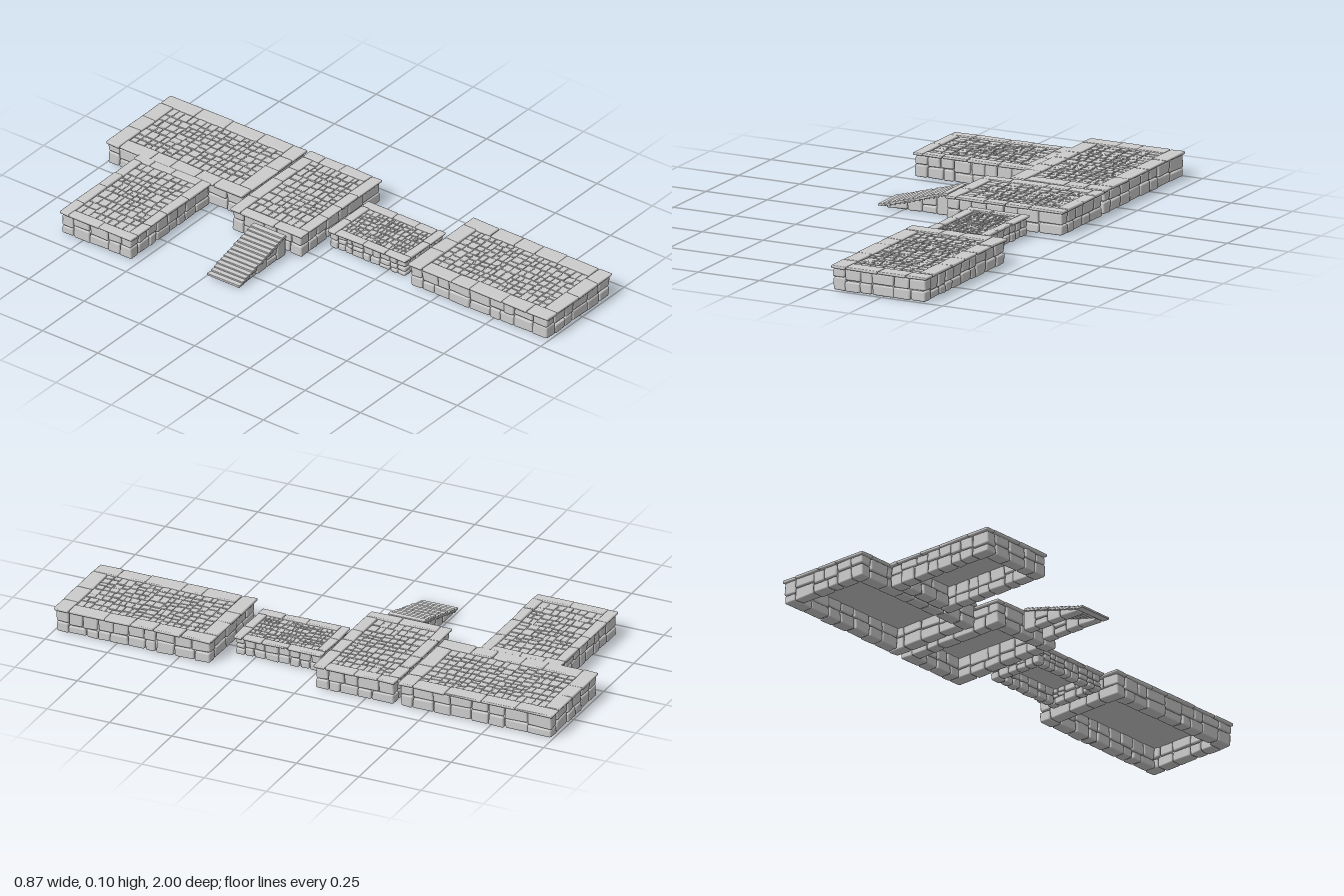
import * as THREE from 'three';
import { mergeGeometries } from 'three/addons/utils/BufferGeometryUtils.js';
import { RoundedBoxGeometry } from 'three/addons/geometries/RoundedBoxGeometry.js';

const material = new THREE.MeshStandardMaterial({ color: 0xcccccc, roughness: 0.9 });

let seed = 7;
function rand(a = 0, b = 1) {
  seed = (seed * 16807) % 2147483647;
  return a + (b - a) * (seed / 2147483647);
}

// Worn block filling the given bounds; corners are nudged, slope lifts the top towards +x
function stone([x0, x1], [y0, y1], [z0, z1], { gap = 0.002, radius = 0.006, wear = 0.003, slope = 0 } = {}) {
  const w = x1 - x0 - gap, h = y1 - y0 - gap, d = z1 - z0 - gap;
  const g = new RoundedBoxGeometry(w, h, d, 1, Math.min(radius, w * 0.3, h * 0.35, d * 0.3));
  const corners = Array.from({ length: 8 }, () =>
    [rand(-wear, wear), rand(-wear, wear) * 0.5, rand(-wear, wear)]);
  const p = g.attributes.position;
  for (let i = 0; i < p.count; i++) {
    const v = [p.getX(i), p.getY(i), p.getZ(i)];
    const t = [v[0] / w + 0.5, v[1] / h + 0.5, v[2] / d + 0.5];
    for (let c = 0; c < 8; c++) {
      const k = (c & 1 ? t[0] : 1 - t[0]) * (c & 2 ? t[1] : 1 - t[1]) * (c & 4 ? t[2] : 1 - t[2]);
      for (let a = 0; a < 3; a++) v[a] += k * corners[c][a];
    }
    v[1] += slope * (t[0] - 0.5) * t[1];
    p.setXYZ(i, v[0], v[1], v[2]);
  }
  return g.translate((x0 + x1) / 2, (y0 + y1) / 2, (z0 + z1) / 2);
}

function block([x0, x1], [y0, y1], [z0, z1]) {
  return new THREE.BoxGeometry(x1 - x0, y1 - y0, z1 - z0).toNonIndexed()
    .translate((x0 + x1) / 2, (y0 + y1) / 2, (z0 + z1) / 2);
}

// Splits a rectangle at random until every piece fits the maximum size
function split(u, v, maxU, maxV, emit) {
  const ru = (u[1] - u[0]) / maxU, rv = (v[1] - v[0]) / maxV;
  if (ru <= 1 && rv <= 1) return emit(u, v);
  const k = rand(0.38, 0.62);
  if (ru > rv) {
    const m = u[0] + (u[1] - u[0]) * k;
    split([u[0], m], v, maxU, maxV, emit);
    split([m, u[1]], v, maxU, maxV, emit);
  } else {
    const m = v[0] + (v[1] - v[0]) * k;
    split(u, [v[0], m], maxU, maxV, emit);
    split(u, [m, v[1]], maxU, maxV, emit);
  }
}

// Four strips of width t running round a rectangle, each ending against the next
function ring([x0, x1], [z0, z1], t) {
  return [
    { along: 'x', x: [x0, x1 - t], z: [z0, z0 + t] },
    { along: 'z', x: [x1 - t, x1], z: [z0, z1 - t] },
    { along: 'x', x: [x0 + t, x1], z: [z1 - t, z1] },
    { along: 'z', x: [x0, x0 + t], z: [z0 + t, z1] },
  ];
}

const inset = ([a, b], t) => [a + t, b - t];

function addMesh(group, name, parts) {
  const mesh = new THREE.Mesh(mergeGeometries(parts), material);
  mesh.name = name;
  group.add(mesh);
}

// Hollow stone platform: rubble walls, rim slabs and a paved floor
function platform({ name, x, z, height, wall = 0.05, rim = 0.06, stoneSize = [0.1, 0.055], paver = 0.052 }) {
  const group = new THREE.Group();
  group.name = name;
  const capY = height - 0.011;

  const walls = [], mortar = [];
  for (const s of ring(inset(x, 0.006), inset(z, 0.006), wall)) {
    const alongX = s.along === 'x';
    split(alongX ? s.x : s.z, [0, capY], ...stoneSize, (u, v) =>
      walls.push(alongX ? stone(u, v, s.z) : stone(s.x, v, u)));
    mortar.push(alongX
      ? block(s.x.map((c, i) => c + (i ? -0.01 : 0.01)), [0.005, capY], inset(s.z, 0.01))
      : block(inset(s.x, 0.01), [0.005, capY], inset(s.z, 0.01)));
  }
  addMesh(group, 'wallStones', walls);
  addMesh(group, 'wallMortar', mortar);

  const caps = [];
  for (const s of ring(x, z, rim)) {
    const alongX = s.along === 'x';
    split(alongX ? s.x : s.z, [0, 1], 0.16, 1, (u) => {
      const y = [capY - 0.001, height];
      const opts = { radius: 0.004, wear: 0.0025, gap: 0.001 };
      caps.push(alongX ? stone(u, y, s.z, opts) : stone(s.x, y, u, opts));
    });
  }
  addMesh(group, 'rimSlabs', caps);

  const pavers = [];
  split(inset(x, rim), inset(z, rim), paver, paver * 0.8, (u, v) =>
    pavers.push(stone(u, [capY - 0.003, height - rand(0.002, 0.004)], v,
      { gap: 0.003, radius: 0.003, wear: 0.002 })));
  addMesh(group, 'pavers', pavers);
  addMesh(group, 'floorBed', [block(inset(x, 0.02), [capY - 0.004, capY + 0.003], inset(z, 0.02))]);
  return group;
}

// Stair climbing towards +x on two wedge-shaped side walls
function stairs() {
  const group = new THREE.Group();
  group.name = 'stairs';
  const x0 = -0.35, x1 = -0.07, steps = 14, run = (x1 - x0) / steps;
  const top = (x) => 0.008 + 0.078 * (x - x0) / (x1 - x0);

  const treads = [];
  for (let i = 0; i < steps; i++) {
    const a = x0 + i * run, y = top(a + run / 2) + 0.003;
    treads.push(stone([a, Math.min(a + run * 1.5, x1 + 0.005)], [y - 0.009, y],
      [-0.25 + rand(0, 0.004), -0.1 - rand(0, 0.004)], { gap: 0, radius: 0.002, wear: 0.0015 }));
  }
  addMesh(group, 'treads', treads);

  const sides = [];
  const joints = [-0.32, -0.235, -0.175, -0.115, -0.062];
  for (const z of [[-0.245, -0.205], [-0.145, -0.105]]) {
    for (let i = 0; i < joints.length - 1; i++) {
      const x = [joints[i], joints[i + 1]];
      const mid = top((x[0] + x[1]) / 2) - 0.007;
      const rise = top(x[1]) - top(x[0]);
      const base = i === 2 ? mid * 0.5 : 0;
      if (base) sides.push(stone(x, [0, base], z, { wear: 0.002 }));
      sides.push(stone(x, [base, mid], z, { slope: rise, wear: 0.002 }));
    }
  }
  addMesh(group, 'sideStones', sides);
  return group;
}

export function createModel() {
  seed = 7;
  const model = new THREE.Group();
  model.name = 'stoneWalkway';
  model.add(
    platform({ name: 'backPlatform', x: [0.04, 0.43], z: [-1, -0.38], height: 0.095 }),
    platform({ name: 'sidePlatform', x: [-0.435, 0.048], z: [-0.85, -0.525], height: 0.094, rim: 0.04 }),
    platform({ name: 'middlePlatform', x: [-0.05, 0.435], z: [-0.37, -0.045], height: 0.095, rim: 0.045 }),
    platform({ name: 'bridge', x: [0.07, 0.315], z: [-0.02, 0.335], height: 0.075,
      wall: 0.036, rim: 0.036, stoneSize: [0.06, 0.036], paver: 0.036 }),
    platform({ name: 'frontPlatform', x: [0.04, 0.43], z: [0.37, 1], height: 0.095 }),
    stairs(),
  );
  return model;
}
